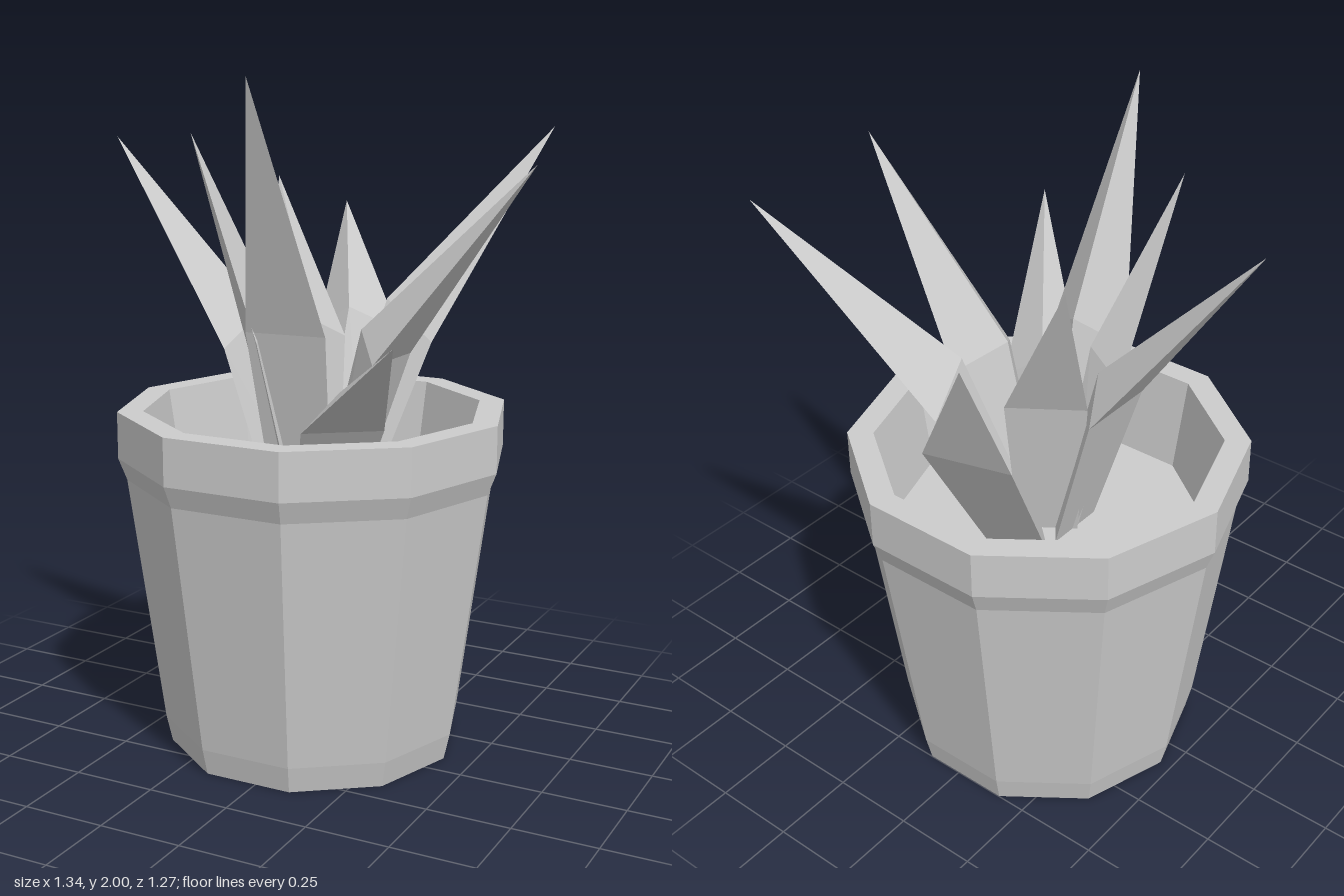
import * as THREE from 'three';

const SIDES = 10;
const CX = -0.025, CZ = -0.083; // axis of the pot
const SOIL_Y = 0.75;

const grey = new THREE.MeshStandardMaterial({ color: 0xcccccc });
grey.name = 'plain grey';

// Faceted mesh: split vertices so every face has its own normal
function facetedMesh(geometry, name) {
  const flat = geometry.index ? geometry.toNonIndexed() : geometry;
  flat.computeVertexNormals();
  const mesh = new THREE.Mesh(flat, grey);
  mesh.name = name;
  return mesh;
}

function disc(radius, y, up, name) {
  const geometry = new THREE.CircleGeometry(radius, SIDES).rotateX(up ? -Math.PI / 2 : Math.PI / 2);
  return facetedMesh(geometry.translate(0, y, 0), name);
}

// Ten-sided pot with a thick rim, hollow down to the soil
function createPot() {
  const pot = new THREE.Group();
  pot.name = 'pot';
  const profile = [
    [0.437, 0], [0.455, 0.08], [0.556, 0.83], [0.581, 0.895],
    [0.581, 1.035], [0.505, 1.035], [0.46, SOIL_Y],
  ].map(([r, y]) => new THREE.Vector2(r, y));
  pot.add(
    facetedMesh(new THREE.LatheGeometry(profile, SIDES, Math.PI / 2), 'potWall'),
    disc(0.437, 0, false, 'potBase'),
    disc(0.46, SOIL_Y, true, 'soil'),
  );
  pot.position.set(CX, 0, CZ);
  return pot;
}

// Three-sided leaf: flat back (left, right), inner ridge, narrowing root and pointed tip
function createLeaf({ left, right, ridge, tip }) {
  const centre = new THREE.Vector3(CX, 0, CZ);
  const shoulder = [left, ridge, right].map((p) => new THREE.Vector3(...p));
  const point = new THREE.Vector3(...tip);
  const middle = shoulder[0].clone().add(shoulder[2]).multiplyScalar(0.5);

  const root = shoulder.map((p, i) => {
    const q = i === 1
      ? centre.clone().lerp(p, 0.12)
      : centre.clone().lerp(middle, 0.4).addScaledVector(p.clone().sub(middle), 0.75);
    return q.setY(SOIL_Y - 0.01);
  });

  const corners = [];
  for (let i = 0; i < 3; i++) {
    const j = (i + 1) % 3;
    corners.push(root[i], shoulder[j], root[j]);
    corners.push(root[i], shoulder[i], shoulder[j]);
    corners.push(shoulder[i], point, shoulder[j]);
  }
  return facetedMesh(new THREE.BufferGeometry().setFromPoints(corners), 'leaf');
}

// Shoulder corners and tip of each leaf
const LEAVES = [
  { left: [-0.25, 1.21, -0.19], right: [-0.25, 1.21, 0.055], ridge: [-0.19, 1.31, -0.07], tip: [-0.67, 1.81, -0.04] },
  { left: [-0.22, 1.25, -0.01], right: [-0.1, 1.25, 0.13], ridge: [-0.11, 1.33, 0], tip: [-0.28, 1.84, 0.175] },
  { left: [-0.135, 1.28, 0.13], right: [0.11, 1.28, 0.11], ridge: [-0.01, 1.36, 0.05], tip: [0, 2, 0.355] },
  { left: [0.1, 1.03, 0.24], right: [0.29, 1.03, 0.1], ridge: [0.16, 1.13, 0.12], tip: [0.555, 1.37, 0.63] },
  { left: [0.23, 1.2, 0.055], right: [0.24, 1.2, -0.185], ridge: [0.14, 1.28, -0.06], tip: [0.67, 1.77, -0.03] },
  { left: [0.27, 1.22, -0.27], right: [0.07, 1.24, -0.45], ridge: [0.12, 1.34, -0.28], tip: [0.505, 1.84, -0.635] },
  { left: [0.04, 1.2, -0.54], right: [-0.21, 1.2, -0.47], ridge: [-0.08, 1.28, -0.43], tip: [-0.19, 1.59, -0.635] },
  { left: [-0.01, 1.22, -0.26], right: [-0.2, 1.22, -0.13], ridge: [-0.06, 1.28, -0.15], tip: [-0.265, 1.69, -0.315] },
];

export function createModel() {
  const model = new THREE.Group();
  model.name = 'pottedPlant';
  const plant = new THREE.Group();
  plant.name = 'leaves';
  LEAVES.forEach((leaf) => plant.add(createLeaf(leaf)));
  model.add(createPot(), plant);
  return model;
}
